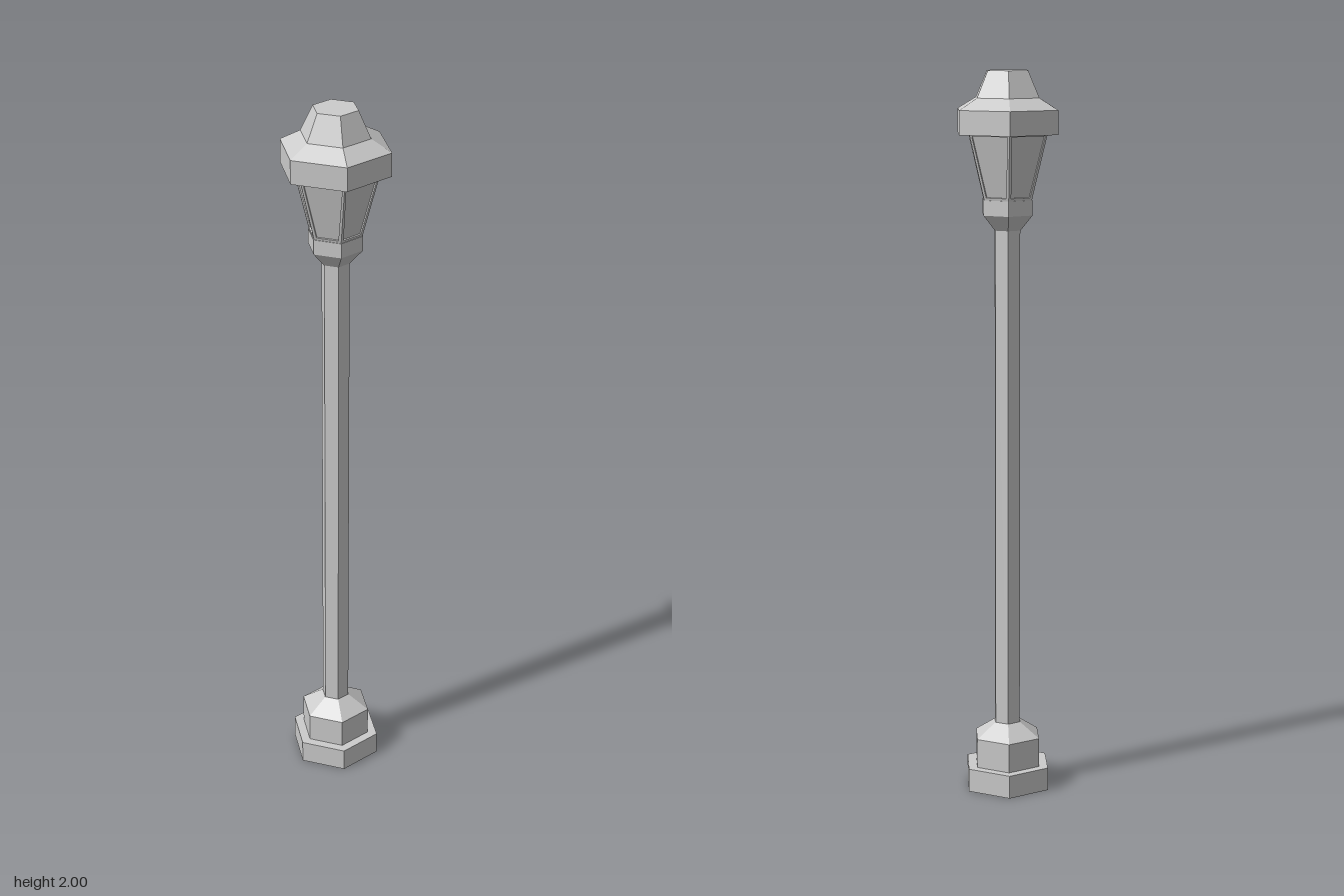
import * as THREE from 'three';

const SIDES = 6;
const material = new THREE.MeshStandardMaterial({ color: 0xcccccc, flatShading: true });

// Six-sided turned part from [radius, height] points, listed bottom to top
function hexPart(name, profile) {
  const points = profile.map(([r, y]) => new THREE.Vector2(r, y));
  const mesh = new THREE.Mesh(new THREE.LatheGeometry(points, SIDES), material);
  mesh.name = name;
  return mesh;
}

// Tapered window frame, outer face on z = 0, standing on y = 0
function frameGeometry(bottomHalf, topHalf, height, border, depth) {
  const trapezoid = (Type, inset) => new Type([
    new THREE.Vector2(-bottomHalf + inset, inset),
    new THREE.Vector2(bottomHalf - inset, inset),
    new THREE.Vector2(topHalf - inset, height - inset),
    new THREE.Vector2(-topHalf + inset, height - inset),
  ]);
  const shape = trapezoid(THREE.Shape, 0);
  shape.holes.push(trapezoid(THREE.Path, border));
  return new THREE.ExtrudeGeometry(shape, { depth, bevelEnabled: false }).translate(0, 0, -depth);
}

export function createModel() {
  const model = new THREE.Group();
  model.name = 'streetLamp';

  // Stepped foot, post and the cup that carries the lantern
  model.add(hexPart('base', [[0, 0], [0.128, 0], [0.128, 0.065], [0.1, 0.065], [0.1, 0.147], [0.04, 0.187], [0, 0.187]]));
  model.add(hexPart('post', [[0.039, 0.18], [0.039, 1.58]]));
  model.add(hexPart('lanternCup', [[0, 1.573], [0.04, 1.573], [0.076, 1.615], [0.076, 1.656], [0, 1.656]]));

  // Lantern: recessed panes behind six leaning frames
  const y0 = 1.656, y1 = 1.835, r0 = 0.074, r1 = 0.121, recess = 0.005;
  model.add(hexPart('panes', [[r0 - recess, y0], [r1 - recess, y1]]));
  const apothem = Math.cos(Math.PI / SIDES);
  const lean = Math.atan2((r1 - r0) * apothem, y1 - y0);
  const frame = frameGeometry(r0 / 2, r1 / 2, (y1 - y0) / Math.cos(lean), 0.007, recess);
  frame.rotateX(lean).translate(0, y0, r0 * apothem);
  const frames = new THREE.Group();
  frames.name = 'windowFrames';
  for (let i = 0; i < SIDES; i++) {
    const mesh = new THREE.Mesh(frame, material);
    mesh.name = 'windowFrame';
    mesh.rotation.y = ((i + 0.5) * 2 * Math.PI) / SIDES;
    frames.add(mesh);
  }
  model.add(frames);

  // Roof with upright brim and tapering cap
  model.add(hexPart('roof', [[0, 1.832], [0.152, 1.832], [0.152, 1.897], [0.096, 1.928], [0.062, 2], [0, 2]]));

  return model;
}
